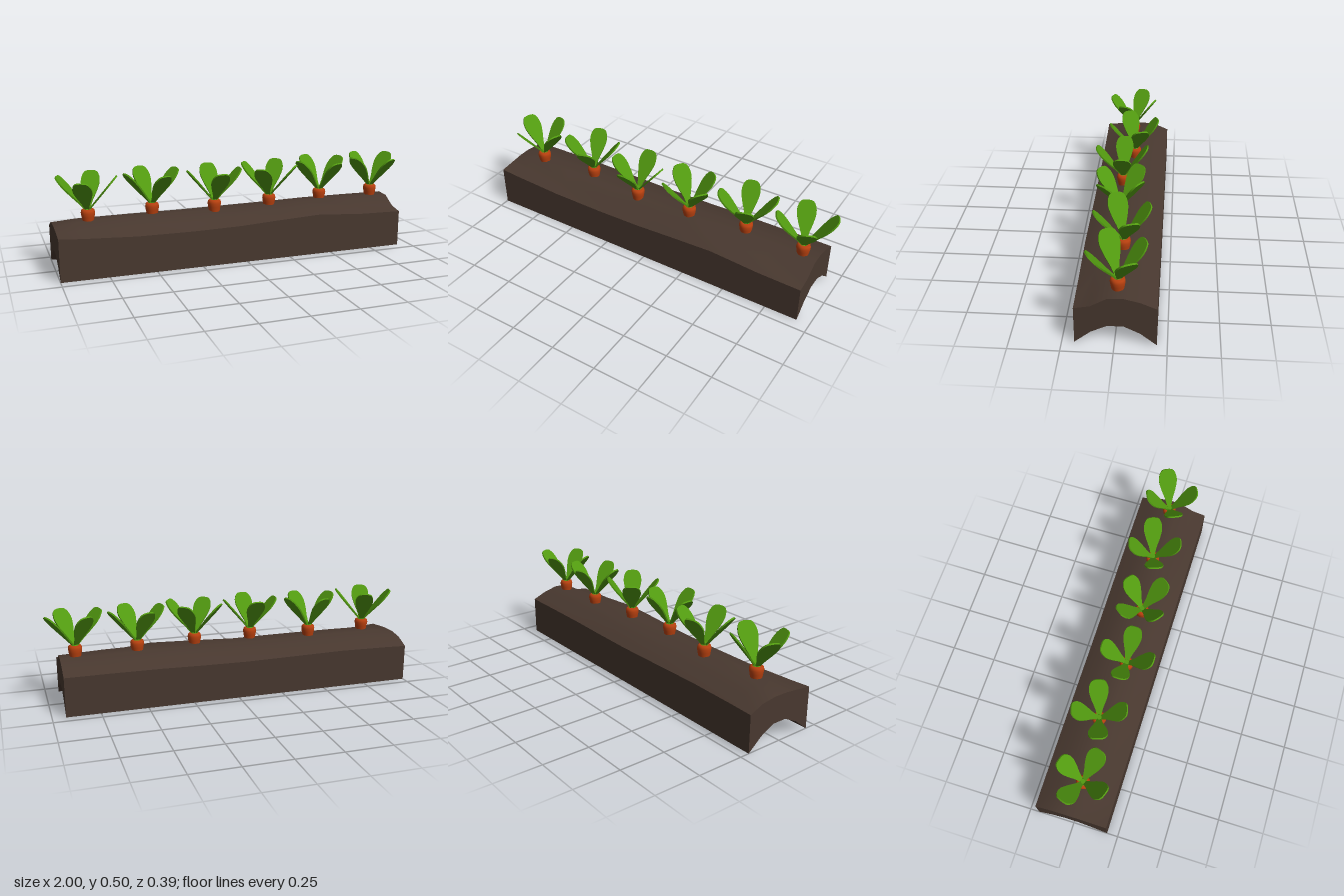
import * as THREE from 'three';
import { mergeGeometries } from 'three/addons/utils/BufferGeometryUtils.js';

const soilMat = new THREE.MeshStandardMaterial({ name: 'soil brown', color: 0x48382f });
const carrotMat = new THREE.MeshStandardMaterial({ name: 'carrot orange', color: 0xb9410f });
const leafMat = new THREE.MeshStandardMaterial({ name: 'leaf green', color: 0x529a10 });

// Smooth surface through rows of points
function grid(rows) {
  const n = rows[0].length;
  const index = [];
  for (let i = 0; i < rows.length - 1; i++) {
    for (let j = 0; j < n - 1; j++) {
      const a = i * n + j, b = a + 1, d = a + n, c = d + 1;
      index.push(a, d, b, b, d, c);
    }
  }
  const g = new THREE.BufferGeometry();
  g.setAttribute('position', new THREE.Float32BufferAttribute(rows.flat(2), 3));
  g.setIndex(index);
  g.computeVertexNormals();
  return g;
}

// Mounded soil row: arched underneath, uneven on top
function makeSoil() {
  const xs = [-1, -0.88, -0.6, -0.3, -0.04, 0.2, 0.42, 0.69, 0.93];
  const zs = [0.19, 0.112, 0.034, -0.044, -0.122, -0.2];
  const arch = [0, 0.065, 0.104, 0.104, 0.065, 0];
  const heights = [
    [0.227, 0.218, 0.203, 0.2, 0.204, 0.216, 0.225, 0.206, 0.2],
    [0.236, 0.24, 0.235, 0.232, 0.24, 0.252, 0.26, 0.235, 0.215],
    [0.244, 0.264, 0.268, 0.268, 0.266, 0.27, 0.273, 0.27, 0.261],
    [0.245, 0.264, 0.264, 0.262, 0.263, 0.266, 0.27, 0.268, 0.265],
    [0.234, 0.24, 0.243, 0.241, 0.243, 0.245, 0.246, 0.246, 0.245],
    [0.2, 0.204, 0.209, 0.205, 0.202, 0.205, 0.21, 0.212, 0.212],
  ];
  const top = xs.map((x, i) => zs.map((z, j) => [x, heights[j][i], z]));
  const bottom = xs.map((x) => zs.map((z, j) => [x, arch[j], z]));
  const last = xs.length - 1, back = zs.length - 1;
  return mergeGeometries([
    grid(top),
    grid(bottom.map((row) => [...row].reverse())),
    grid(xs.map((_, i) => [bottom[i][0], top[i][0]])),
    grid(xs.map((_, i) => [top[i][back], bottom[i][back]])),
    grid(zs.map((_, j) => [bottom[last][j], top[last][j]])),
    grid(zs.map((_, j) => [top[0][j], bottom[0][j]])),
  ]);
}

// Paddle-shaped leaf, base at the origin, growing up y
function makeLeaf() {
  const side = [[0.007, 0], [0.02, 0.06], [0.038, 0.115], [0.049, 0.165], [0.044, 0.205], [0.024, 0.23]];
  const outline = [...side, ...side.map(([x, y]) => [-x, y]).reverse()];
  const shape = new THREE.Shape();
  shape.moveTo(0.007, 0);
  shape.splineThru(outline.slice(1).map(([x, y]) => new THREE.Vector2(x, y)));
  const g = new THREE.ExtrudeGeometry(shape, { depth: 0.008, bevelEnabled: false, curveSegments: 22 });
  return g.translate(0, 0, -0.004);
}

// Carrot shoulder with shallow vertical grooves
function makeCarrot() {
  const profile = [[0, 0.2], [0.02, 0.2], [0.029, 0.255], [0.035, 0.285], [0.038, 0.305], [0.035, 0.319], [0.026, 0.325], [0, 0.322]];
  const g = new THREE.LatheGeometry(profile.map(([x, y]) => new THREE.Vector2(x, y)), 20);
  const p = g.attributes.position;
  for (let i = 0; i < p.count; i++) {
    const k = 1 - 0.05 * (0.5 + 0.5 * Math.cos(5 * Math.atan2(p.getZ(i), p.getX(i))));
    p.setX(i, p.getX(i) * k);
    p.setZ(i, p.getZ(i) * k);
  }
  return g;
}

export function createModel() {
  const model = new THREE.Group();
  model.name = 'carrotRow';

  const soil = new THREE.Mesh(makeSoil(), soilMat);
  soil.name = 'soil';
  model.add(soil);

  const carrotGeo = makeCarrot();
  const leafGeo = makeLeaf();
  const crownGeo = new THREE.CylinderGeometry(0.012, 0.024, 0.014, 10);

  // x, z and turn in degrees for each plant
  const plants = [
    [-0.82, 0.01, -20], [-0.473, -0.015, 17], [-0.136, 0.032, 0],
    [0.19, 0.02, -38], [0.516, -0.015, 18], [0.845, -0.012, 24],
  ];
  const sizes = [1, 1.04, 1, 1.04];

  plants.forEach(([x, z, turn], n) => {
    const plant = new THREE.Group();
    plant.name = `plant${n + 1}`;
    plant.position.set(x, 0, z);
    plant.rotation.y = THREE.MathUtils.degToRad(turn);

    const carrot = new THREE.Mesh(carrotGeo, carrotMat);
    carrot.name = 'carrot';
    const crown = new THREE.Mesh(crownGeo, leafMat);
    crown.name = 'leafCrown';
    crown.position.y = 0.328;
    plant.add(carrot, crown);

    // Four leaves spread evenly around the crown
    for (let i = 0; i < 4; i++) {
      const leaf = new THREE.Mesh(leafGeo, leafMat);
      leaf.name = 'leaf';
      leaf.position.y = 0.312;
      leaf.rotation.set(THREE.MathUtils.degToRad(i === 2 ? 36 : 40), i * Math.PI / 2, 0, 'YXZ');
      leaf.scale.setScalar(n === 2 ? 1 : sizes[i]);
      plant.add(leaf);
    }
    model.add(plant);
  });
  return model;
}
